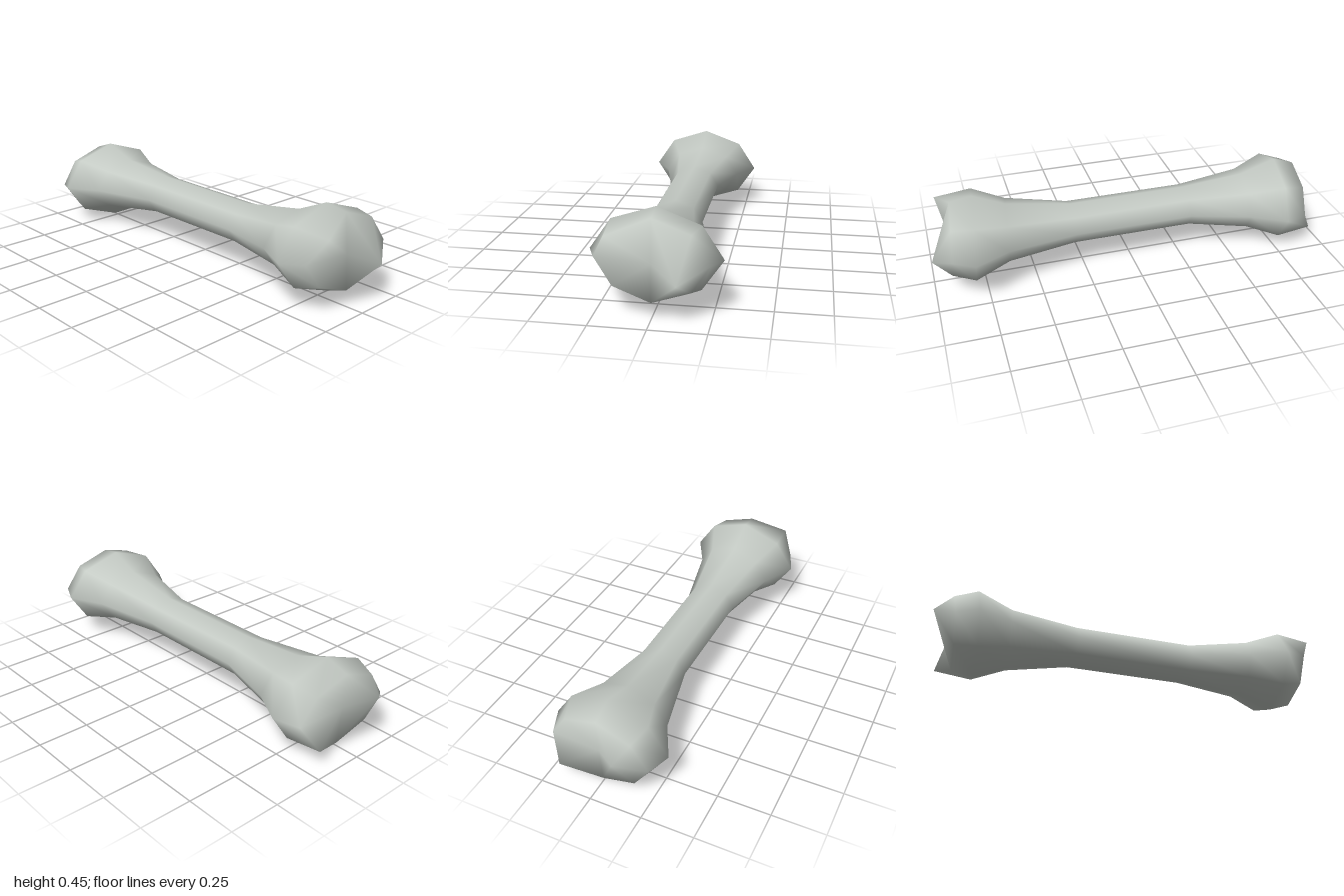
import * as THREE from 'three';

const SIDES = 8;
const MID = 0.2325; // height of the bone's centre

// Rings from the shaft to the front knob:
// centre z, half width, half height, centre y offset, z lean per x, z lean per y
const RINGS = [
  { z: 0.30, rx: 0.13, ry: 0.1025, dy: 0, leanX: 0, leanY: 0 },
  { z: 0.62, rx: 0.205, ry: 0.143, dy: 0.014, leanX: 0.12, leanY: 0 },
  { z: 0.785, rx: 0.293, ry: 0.2075, dy: 0.019, leanX: 0.085, leanY: -0.05 },
  { z: 0.895, rx: 0.248, ry: 0.18, dy: 0.03, leanX: 0.07, leanY: -0.07 },
];

// One eight-sided cross-section, starting at +x and turning towards +y
function ringPoints({ z, rx, ry, dy, leanX, leanY }) {
  return Array.from({ length: SIDES }, (_, i) => {
    const a = (i / SIDES) * Math.PI * 2;
    const diagonal = i % 2 ? 0.955 : 1;
    const x = rx * Math.cos(a) * diagonal;
    const y = ry * Math.sin(a) * diagonal;
    return new THREE.Vector3(x, y + dy, z + leanX * x + leanY * y);
  });
}

// The back end is the front end inverted through the bone's centre
const invert = (p) => p.clone().negate();

function boneGeometry() {
  const front = RINGS.map(ringPoints);
  front[3][3].set(-0.185, 0.145, 0.943); // small lobe on the rim

  const back = front
    .map((ring) => ring.map((_, i) => invert(ring[(i + SIDES / 2) % SIDES])))
    .reverse();
  const rings = [...back, ...front];
  const points = rings.flat();
  const index = [];

  // Skin between neighbouring rings
  for (let r = 0; r < rings.length - 1; r++) {
    for (let i = 0; i < SIDES; i++) {
      const a = r * SIDES + i;
      const b = r * SIDES + ((i + 1) % SIDES);
      index.push(a, b, b + SIDES, a, b + SIDES, a + SIDES);
    }
  }

  // End caps: a groove in the middle and a pointed lobe to one side
  const valley = new THREE.Vector3(0, 0.02, 0.9);
  const lobe = new THREE.Vector3(0.12, -0.032, 1.0);
  const addCap = (ringStart, shift, flip) => {
    const place = (p) => points.push(flip ? invert(p) : p) - 1;
    const v = place(valley);
    const l = place(lobe);
    const rim = (i) => ringStart + ((i + shift) % SIDES);
    const tri = (a, b, c) => (flip ? index.push(a, c, b) : index.push(a, b, c));
    for (let i = 6; i < 10; i++) tri(rim(i), rim(i + 1), l);
    tri(rim(2), v, l);
    tri(v, rim(6), l);
    for (let i = 2; i < 6; i++) tri(rim(i), rim(i + 1), v);
  };
  addCap((rings.length - 1) * SIDES, 0, false);
  addCap(0, SIDES / 2, true);

  const geometry = new THREE.BufferGeometry().setFromPoints(points);
  geometry.setIndex(index);
  geometry.computeVertexNormals();
  return geometry;
}

export function createModel() {
  const boneGrey = new THREE.MeshStandardMaterial({ color: 0xc4cac4 });
  boneGrey.name = 'boneGrey';

  const bone = new THREE.Mesh(boneGeometry(), boneGrey);
  bone.name = 'bone';
  bone.position.y = MID;

  const group = new THREE.Group();
  group.name = 'boneModel';
  group.add(bone);
  return group;
}
